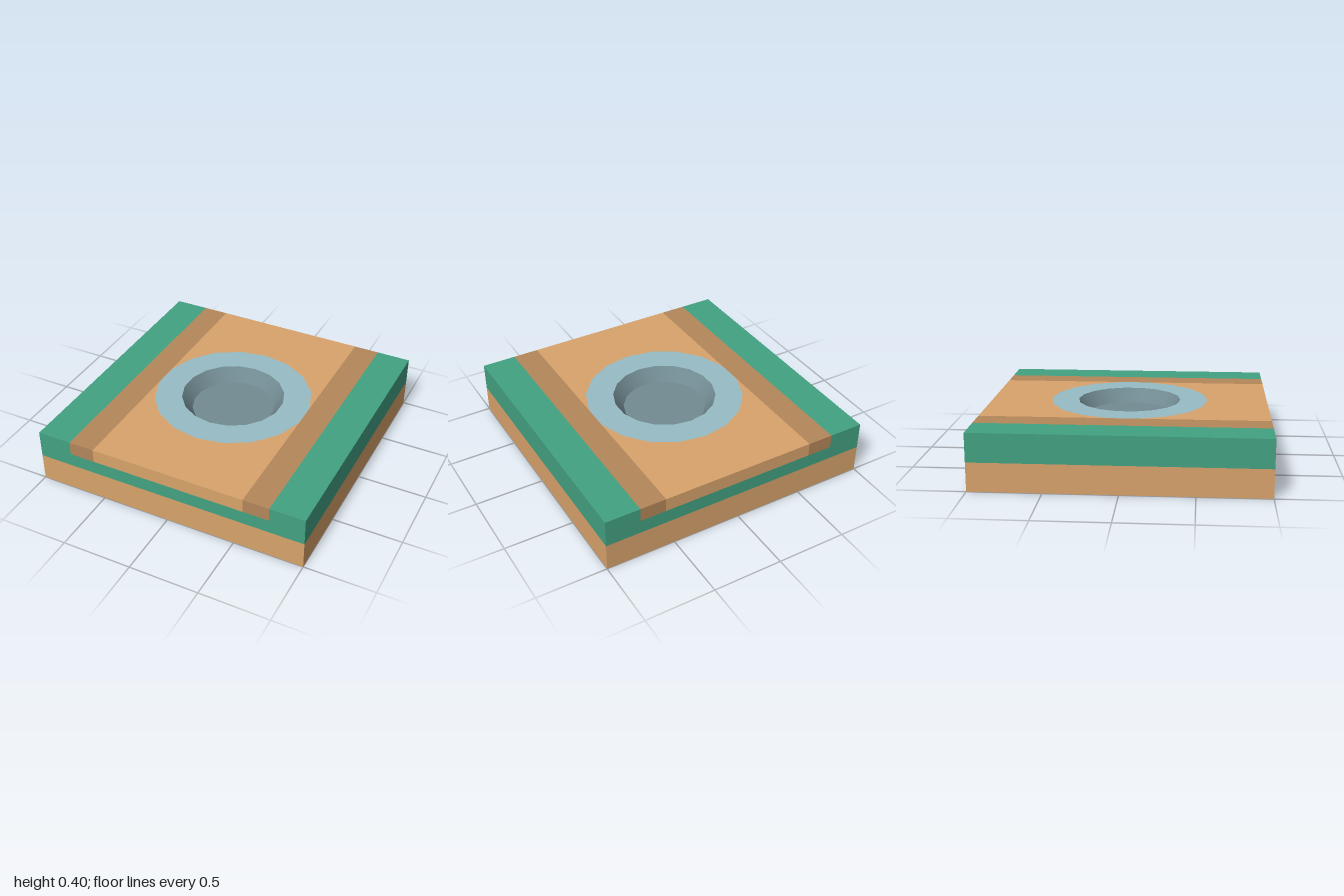
import * as THREE from 'three';

const SIDES = 18;
const TOP = 0.4, FLOOR = 0.302;

export function createModel() {
  const group = new THREE.Group();
  const mat = (color) => new THREE.MeshStandardMaterial({ color });
  const orange = mat(0xd9a36b), brown = mat(0xb4875a), green = mat(0x43a283);
  const blue = mat(0x97bcc6), slate = mat(0x718b92);

  const add = (name, geometry, material) => {
    const mesh = new THREE.Mesh(geometry, material);
    mesh.name = name;
    group.add(mesh);
  };
  const points = (list) => list.map(([x, y]) => new THREE.Vector2(x, y));
  const lathe = (list) => new THREE.LatheGeometry(points(list), SIDES);

  // Ground slab
  add('base', new THREE.BoxGeometry(2, 0.2, 2).translate(0, 0.1, 0), orange);

  // Grass layer with a channel for the path
  const channel = new THREE.Shape(points([
    [-1, 0.2], [1, 0.2], [1, TOP], [0.75, TOP], [0.75, 0.3],
    [-0.75, 0.3], [-0.75, TOP], [-1, TOP],
  ]));
  add('grass', new THREE.ExtrudeGeometry(channel, { depth: 2, bevelEnabled: false })
    .translate(0, 0, -1), green);

  // Darker path borders
  for (const [name, s] of [['leftBorder', 1], ['rightBorder', -1]]) {
    add(name, new THREE.BoxGeometry(0.187, 0.1, 2).translate(s * 0.6565, 0.35, 0), brown);
  }

  // Path with a round opening
  const path = new THREE.Shape(points([[-0.563, -1], [0.563, -1], [0.563, 1], [-0.563, 1]]));
  const opening = [];
  for (let i = 0; i < SIDES; i++) {
    const a = (i / SIDES) * Math.PI * 2;
    opening.push(new THREE.Vector2(0.57 * Math.sin(a), 0.57 * Math.cos(a)));
  }
  path.holes.push(new THREE.Path(opening));
  add('path', new THREE.ExtrudeGeometry(path, { depth: 0.1, bevelEnabled: false })
    .rotateX(Math.PI / 2).translate(0, TOP, 0), orange);

  // Flush ring around a shallow tapered hole
  add('holeRing', lathe([[0.57, TOP], [0.372, TOP]]), blue);
  add('holeWall', lathe([[0.372, TOP], [0.298, FLOOR]]), slate);
  add('holeFloor', lathe([[0.298, FLOOR], [0, FLOOR]]), slate);

  return group;
}
